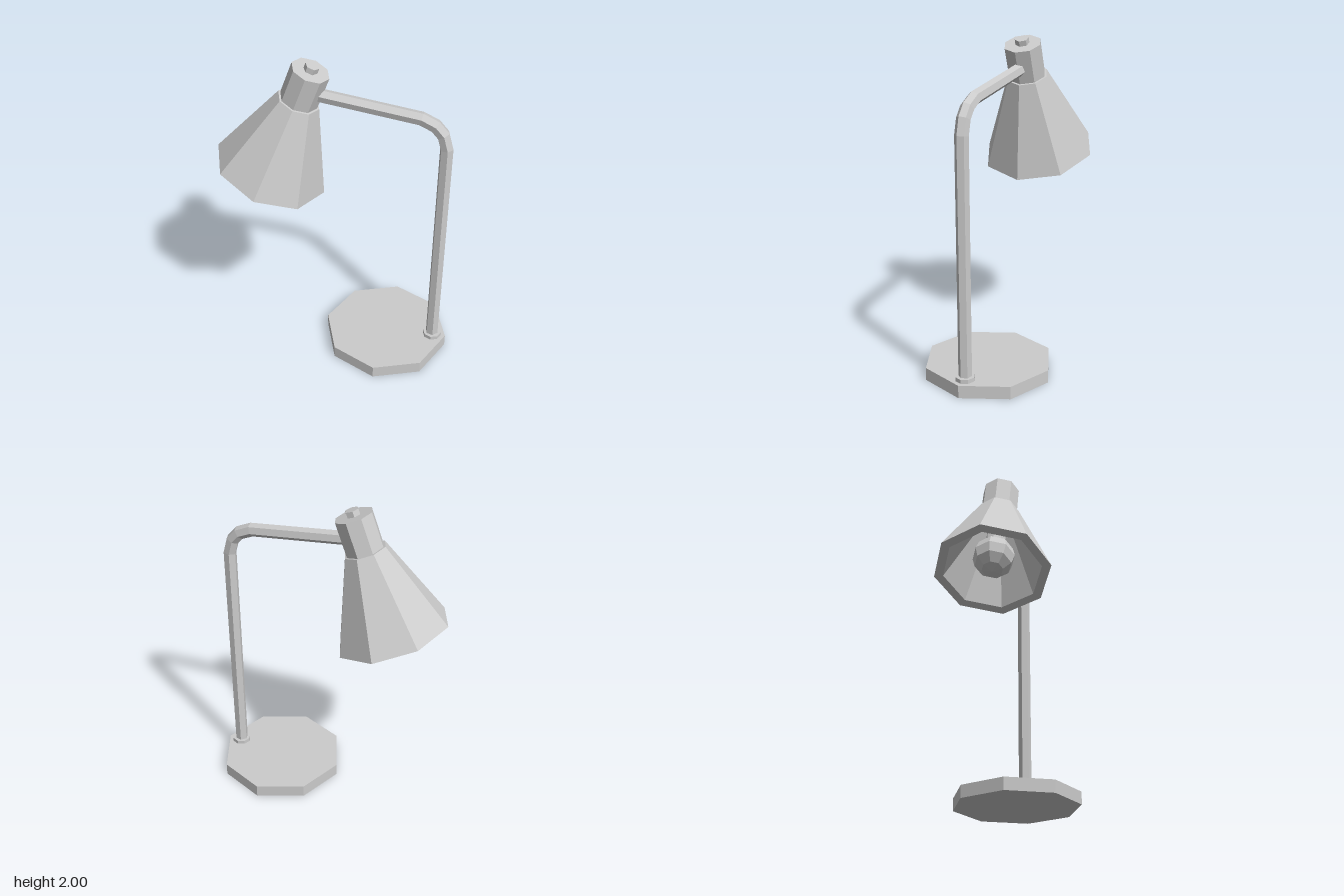
import * as THREE from 'three';

const material = new THREE.MeshStandardMaterial({ color: 0xcccccc, flatShading: true });

function part(name, geometry, x = 0, y = 0, z = 0) {
  const mesh = new THREE.Mesh(geometry, material);
  mesh.name = name;
  mesh.position.set(x, y, z);
  return mesh;
}

// Sweeps a hexagonal section along a path in the xy plane, with mitred bends
function sweptBar(path, radius, twist) {
  const n = path.length - 1;
  const geometry = new THREE.CylinderGeometry(1, 1, 1, 6, n);
  const pos = geometry.attributes.position;
  for (let i = 0; i < pos.count; i++) {
    const k = Math.round((pos.getY(i) + 0.5) * n);
    const p = path[k];
    const before = p.clone().sub(path[Math.max(k - 1, 0)]).normalize();
    const after = path[Math.min(k + 1, n)].clone().sub(p).normalize();
    const t = before.clone().add(after).normalize();
    const miter = 1 / (k === 0 || k === n ? 1 : t.dot(after));
    // start each section corner on the outer side of the bend
    const sx = pos.getX(i), sz = pos.getZ(i);
    const c = Math.cos(twist), s = Math.sin(twist);
    const side = (sz * s + sx * c) * radius * miter;
    const depth = (sz * c - sx * s) * radius;
    pos.setXYZ(i, p.x + t.y * side, p.y - t.x * side, depth);
  }
  geometry.computeVertexNormals();
  return geometry;
}

export function createModel() {
  const lamp = new THREE.Group();
  lamp.name = 'deskLamp';

  // Base and stem collar
  lamp.add(part('base', new THREE.CylinderGeometry(0.4, 0.4, 0.08, 8), 0.345, 0.04));
  lamp.add(part('stemCollar', new THREE.CylinderGeometry(0.06, 0.06, 0.03, 8), 0.657, 0.09));

  // Bent stem and arm
  const path = [
    [0.655, 0.07], [0.655, 1.555], [0.63, 1.645], [0.583, 1.698], [0.5, 1.735], [-0.17, 1.808],
  ].map(([x, y]) => new THREE.Vector2(x, y));
  lamp.add(part('stemAndArm', sweptBar(path, 0.041, -Math.PI / 6 - 0.25), 0, 0, 0));

  // Tilted head, with its origin at the centre of the shade rim
  const head = new THREE.Group();
  head.name = 'head';
  head.position.set(-0.41, 1.235, 0);
  head.rotation.z = THREE.MathUtils.degToRad(-20);
  lamp.add(head);

  // Thick-walled shade: inside, rim, outside, top
  const shadeProfile = [
    [0, 0.48], [0.09, 0.48], [0.3, 0], [0.356, 0], [0.13, 0.548], [0, 0.548],
  ].map(([r, y]) => new THREE.Vector2(r, y));
  head.add(part('shade', new THREE.LatheGeometry(shadeProfile, 8)));

  // Neck and top knob
  head.add(part('neck', new THREE.CylinderGeometry(0.117, 0.117, 0.226, 8), 0, 0.651));
  const knob = part('knob', new THREE.CylinderGeometry(0.043, 0.043, 0.05, 6), 0, 0.774);
  knob.rotation.y = Math.PI / 6;
  head.add(knob);

  // Bulb and socket
  head.add(part('bulb', new THREE.SphereGeometry(0.13, 8, 6), 0, 0.124));
  head.add(part('socket', new THREE.CylinderGeometry(0.06, 0.06, 0.28, 8), 0, 0.36));

  return lamp;
}
